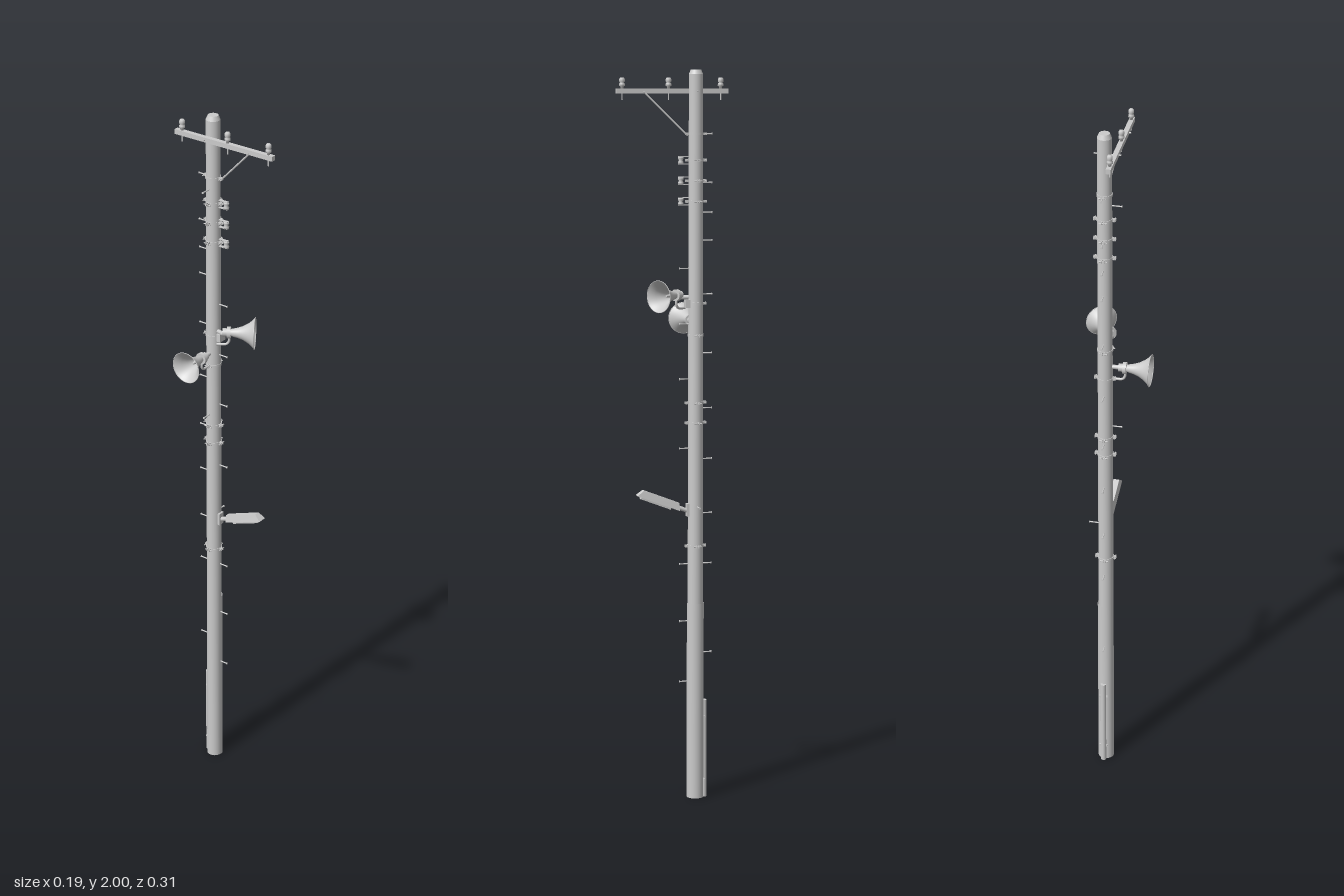
import * as THREE from 'three';

const PX = 0.023, PZ = -0.06; // pole axis
const V = (x, y, z) => new THREE.Vector3(x, y, z);

export function createModel() {
  const root = new THREE.Group();
  root.name = 'utilityPole';
  const mat = new THREE.MeshStandardMaterial({ color: 0xcccccc });
  const thin = new THREE.MeshStandardMaterial({ color: 0xcccccc, side: THREE.DoubleSide });

  const add = (name, geo, x = 0, y = 0, z = 0, parent = root, m = mat) => {
    const mesh = new THREE.Mesh(geo, m);
    mesh.name = name;
    mesh.position.set(x, y, z);
    parent.add(mesh);
    return mesh;
  };
  // straight round bar between two points
  const rod = (name, a, b, r, parent = root, sides = 8) => {
    const d = b.clone().sub(a);
    const mesh = add(name, new THREE.CylinderGeometry(r, r, d.length(), sides), 0, 0, 0, parent);
    mesh.position.copy(a).add(b).multiplyScalar(0.5);
    mesh.quaternion.setFromUnitVectors(V(0, 1, 0), d.normalize());
    return mesh;
  };
  const lathe = (pts, n = 24) => new THREE.LatheGeometry(pts.map(p => new THREE.Vector2(...p)), n);
  const poleR = y => 0.022 - 0.0015 * y;

  // pole with bevelled top
  add('pole', new THREE.CylinderGeometry(poleR(2), poleR(0), 1.988, 24), PX, 0.994, PZ);
  add('poleCap', new THREE.CylinderGeometry(0.014, poleR(2), 0.012, 24), PX, 1.994, PZ);

  // crossarm with pin insulators
  const arm = new THREE.Group();
  arm.name = 'crossarm';
  root.add(arm);
  add('beam', new THREE.BoxGeometry(0.013, 0.013, 0.309), -0.0065, 1.943, -0.0025, arm);
  for (const z of [-0.137, 0.008, 0.136]) {
    add('insulator', lathe([[0, 0], [0.004, 0], [0.004, 0.006], [0.008, 0.008], [0.0075, 0.014],
      [0.005, 0.016], [0.0075, 0.019], [0.0075, 0.026], [0.005, 0.03], [0, 0.03]], 16), -0.0065, 1.949, z, arm);
    add('insulatorPin', new THREE.CylinderGeometry(0.002, 0.002, 0.03, 8), -0.0065, 1.934, z, arm);
  }
  rod('armBolt', V(-0.02, 1.943, PZ), V(0.05, 1.943, PZ), 0.002, arm);
  rod('brace', V(0.003, 1.94, 0.077), V(PX, 1.825, -0.037), 0.0025, arm);
  rod('braceBolt', V(-0.018, 1.94, 0.077), V(0.008, 1.94, 0.077), 0.002, arm);

  // clamp bands with paired ears and bolts
  const band = (y, axis) => {
    const g = new THREE.Group();
    g.name = 'clampBand';
    g.position.set(PX, y, PZ);
    root.add(g);
    add('strap', new THREE.CylinderGeometry(poleR(y) + 0.0015, poleR(y) + 0.0015, 0.007, 24), 0, 0, 0, g);
    for (const s of [-1, 1]) {
      for (const e of [-1, 1]) add('ear', new THREE.BoxGeometry(0.009, 0.007, 0.002), s * 0.025, 0, e * 0.003, g);
      rod('earBolt', V(s * 0.026, 0, -0.011), V(s * 0.026, 0, 0.011), 0.0015, g);
    }
    if (axis) g.rotation.y = Math.PI / 2;
  };
  for (const y of [1.76, 1.705, 1.65, 1.105, 1.05]) { band(y, false); band(y, true); }
  band(1.83, true);
  band(0.71, false);
  band(0.71, true);

  // spool insulators on the front of the upper bands
  for (const y of [1.76, 1.705, 1.65]) {
    add('spool', lathe([[0, -0.009], [0.007, -0.009], [0.008, -0.005], [0.005, 0], [0.008, 0.005],
      [0.007, 0.009], [0, 0.009]], 16), PX, y, -0.018, root);
    for (const s of [-1, 1]) add('spoolBracket', new THREE.BoxGeometry(0.008, 0.002, 0.028), PX, y + s * 0.01, -0.026);
  }

  // climbing steps alternate between front and back
  const step = (y, dx, dz) => {
    rod('climbingStep', V(PX, y, PZ), V(PX + dx * 0.045, y, PZ + dz * 0.045), 0.0018);
    const e = V(PX + dx * 0.044, y, PZ + dz * 0.044);
    rod('stepHead', e, e.clone().add(V(dx * 0.002, 0, dz * 0.002)), 0.003);
  };
  for (const y of [1.47, 1.32, 1.17, 0.98, 0.66, 0.5, 0.33]) step(y, 0, 1);
  for (const y of [1.83, 1.7, 1.62, 1.545, 1.4, 1.24, 1.09, 0.95, 0.8, 0.66, 0.41]) step(y, 0, -1);
  for (const y of [1.8, 1.14]) step(y, -1, 0);
  step(0.82, 1, 0);

  // horn loudspeaker opening along local +z, mouth at the local origin
  const horn = (x, y, z, yaw) => {
    const g = new THREE.Group();
    g.name = 'loudspeaker';
    g.position.set(x, y, z);
    g.rotation.y = yaw;
    root.add(g);
    const bell = lathe([[0.008, -0.068], [0.011, -0.058], [0.014, -0.045], [0.019, -0.031],
      [0.027, -0.017], [0.035, -0.007], [0.043, 0]], 32);
    bell.rotateX(Math.PI / 2);
    add('bell', bell, 0, 0, 0, g, thin);
    add('rim', new THREE.TorusGeometry(0.043, 0.001, 6, 32), 0, 0, 0, g);
    rod('flange', V(0, 0, -0.074), V(0, 0, -0.064), 0.016, g, 24);
    rod('driver', V(0, 0, -0.086), V(0, 0, -0.07), 0.011, g, 20);
    const plug = add('phasePlug', new THREE.CylinderGeometry(0.003, 0.008, 0.04, 16), 0, 0, -0.05, g);
    plug.rotation.x = Math.PI / 2;
    // hanging bracket
    const path = new THREE.CatmullRomCurve3([V(0, -0.008, -0.069), V(0, -0.026, -0.069),
      V(0, -0.034, -0.075), V(0, -0.036, -0.088), V(0, -0.036, -0.102)]);
    add('bracket', new THREE.TubeGeometry(path, 16, 0.0035, 8), 0, 0, 0, g);
    return g;
  };
  horn(-0.099, 1.325, PZ, -Math.PI / 2);
  horn(0.056, 1.398, 0.052, Math.atan2(0.52, 0.85));
  rod('speakerArm', V(-0.018, 1.325, PZ), V(0.01, 1.325, PZ), 0.006);
  rod('speakerArm', V(0.013, 1.392, -0.018), V(PX, 1.392, PZ), 0.006);
  add('speakerMount', new THREE.BoxGeometry(0.024, 0.022, 0.012), PX, 1.375, -0.036);
  band(1.289, false);
  band(1.375, true);

  // street lamp: hip-topped housing with a lens below, tilted upward
  const lamp = new THREE.Group();
  lamp.name = 'streetLamp';
  lamp.position.set(PX, 0.808, -0.036);
  lamp.rotation.x = -0.37;
  root.add(lamp);
  const housing = new THREE.BoxGeometry(0.026, 0.02, 0.128);
  const p = housing.attributes.position;
  for (let i = 0; i < p.count; i++) {
    const back = p.getZ(i) < 0;
    if (back) p.setX(i, p.getX(i) * 0.75);
    if (p.getY(i) > 0) p.setXYZ(i, p.getX(i) * 0.6, p.getY(i), p.getZ(i) + (back ? 0.008 : -0.012));
  }
  housing.computeVertexNormals();
  add('lampHousing', housing, 0, 0.003, 0.085, lamp);
  add('lampLens', new THREE.BoxGeometry(0.018, 0.006, 0.09), 0, -0.009, 0.092, lamp);
  rod('lampArm', V(0, 0, -0.008), V(0, 0, 0.03), 0.006, lamp, 12);
  add('lampPlate', new THREE.BoxGeometry(0.02, 0.035, 0.006), PX, 0.81, -0.037);

  // curved guard sheet on the side, and cable conduit at the back
  add('guardSheet', new THREE.CylinderGeometry(0.0235, 0.0235, 0.55, 20, 1, true, -0.15, Math.PI + 0.3),
    PX, 0.275, PZ, root, thin);
  add('conduit', new THREE.CylinderGeometry(0.008, 0.008, 0.276, 16), PX + 0.004, 0.138, PZ - 0.024);
  for (const y of [0.05, 0.23]) add('conduitStrap', new THREE.BoxGeometry(0.024, 0.006, 0.004), PX + 0.004, y, PZ - 0.023);

  return root;
}
